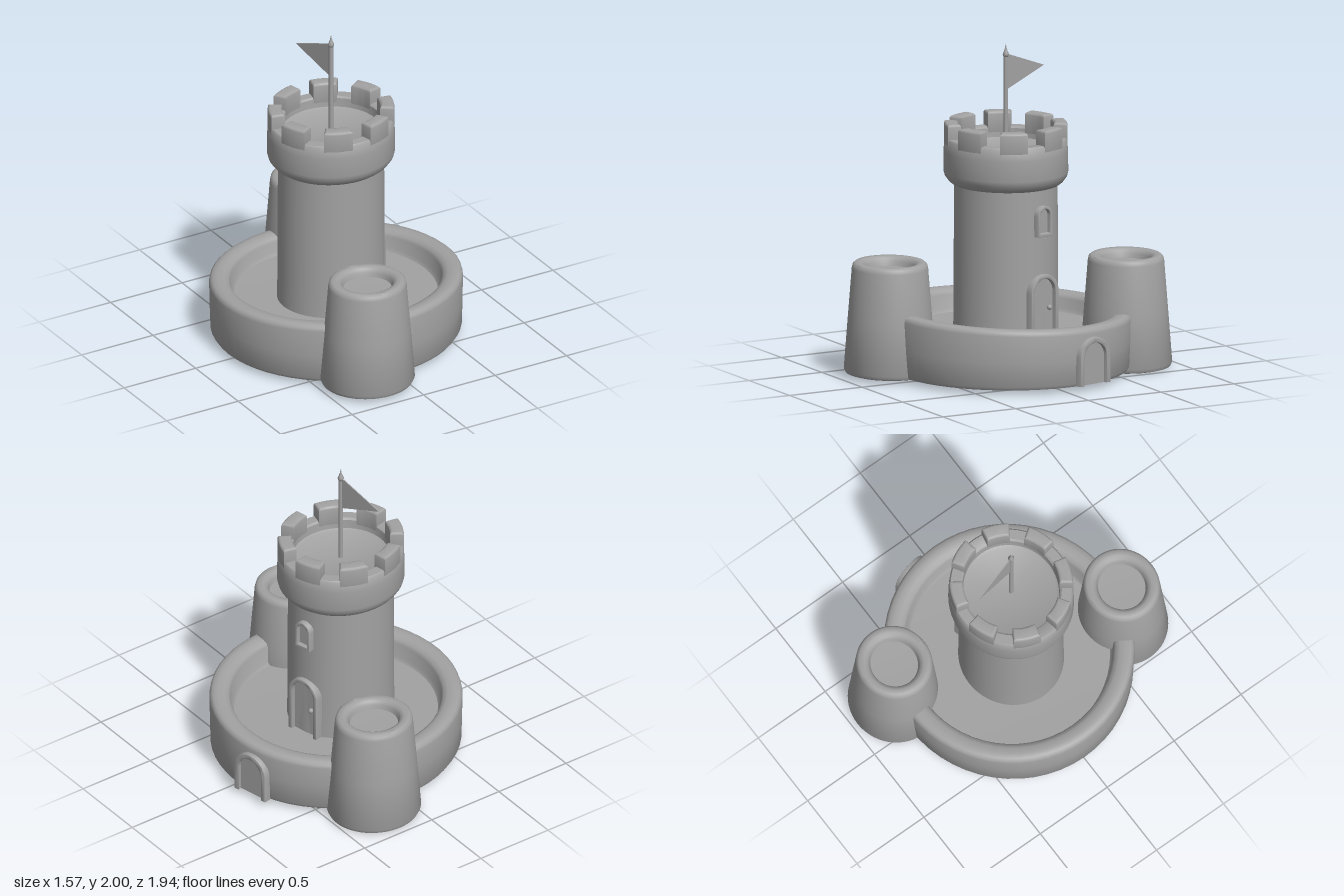
import * as THREE from 'three';
import { toCreasedNormals } from 'three/addons/utils/BufferGeometryUtils.js';

const stone = new THREE.MeshStandardMaterial({ color: 0xa2a2a2 });
stone.name = 'stone grey';
const cloth = stone.clone(); // same grey, seen from both sides
cloth.name = 'flag grey';
cloth.side = THREE.DoubleSide;

const FACING = THREE.MathUtils.degToRad(103); // doors and window look this way
const SQUASH = 0.95; // round parts are slightly narrower in depth

function add(parent, name, geometry, material = stone) {
  const mesh = new THREE.Mesh(geometry, material);
  mesh.name = name;
  parent.add(mesh);
  return mesh;
}

function lathe(profile, squash = SQUASH) {
  const g = new THREE.LatheGeometry(profile.map(([r, y]) => new THREE.Vector2(r, y)), 56);
  g.scale(1, 1, squash);
  return g;
}

// Outline of a round-topped opening, from lower right over to lower left
function archPoints(half, bottom, top) {
  const pts = [new THREE.Vector2(half, bottom)];
  for (let i = 0; i <= 14; i++) {
    const a = (i / 14) * Math.PI;
    pts.push(new THREE.Vector2(half * Math.cos(a), top - half + half * Math.sin(a)));
  }
  pts.push(new THREE.Vector2(-half, bottom));
  return pts;
}

// Raised frame with a recessed panel; a sill closes the bottom of windows
function archway(name, half, bottom, top, rim, front, recess, sill) {
  const group = new THREE.Group();
  group.name = name;
  const outer = archPoints(half, bottom, top);
  const inner = archPoints(half - rim, sill ? bottom + rim : bottom, top - rim);
  let shape;
  if (sill) {
    shape = new THREE.Shape(outer);
    shape.holes.push(new THREE.Path(inner));
  } else {
    shape = new THREE.Shape([...outer, ...inner.slice().reverse()]);
  }
  const bevel = 0.005;
  const frame = new THREE.ExtrudeGeometry(shape, {
    depth: 0.07, bevelSize: bevel, bevelThickness: bevel, bevelOffset: -bevel, bevelSegments: 2,
  });
  frame.translate(0, 0, front - 0.07 - bevel);
  add(group, name + 'Frame', toCreasedNormals(frame, 0.7));
  const panel = new THREE.ExtrudeGeometry(new THREE.Shape(inner), { depth: 0.04, bevelEnabled: false });
  panel.translate(0, 0, front - recess - 0.04);
  add(group, name + 'Panel', panel);
  group.rotation.y = FACING;
  return group;
}

// Keep: shaft, flared crown with battlements, door, window and flag
function buildKeep() {
  const keep = new THREE.Group();
  keep.name = 'keep';
  keep.position.set(-0.045, 0, -0.013);
  add(keep, 'shaft', lathe([[0.33, 0.2], [0.327, 0.4], [0.324, 1.2]]));
  add(keep, 'crown', toCreasedNormals(lathe([
    [0.31, 1.145], [0.34, 1.15], [0.36, 1.165], [0.383, 1.195], [0.391, 1.225], [0.389, 1.35],
    [0.384, 1.42], [0.375, 1.43], [0.315, 1.43], [0.303, 1.42], [0.298, 1.365], [0.28, 1.355], [0, 1.355],
  ]), 0.7));

  const bevel = 0.016;
  const halfAngle = THREE.MathUtils.degToRad(13.5) - bevel / 0.35;
  const sector = new THREE.Shape();
  sector.absarc(0, 0, 0.386 - bevel, -halfAngle, halfAngle, false);
  sector.absarc(0, 0, 0.3 + bevel, halfAngle, -halfAngle, true);
  const block = new THREE.ExtrudeGeometry(sector, {
    depth: 0.11, bevelSize: bevel, bevelThickness: bevel, bevelSegments: 3, curveSegments: 6,
  });
  block.rotateX(-Math.PI / 2);
  block.translate(0, 1.396, 0);
  const merlonGeometry = toCreasedNormals(block, 0.7);
  const battlements = new THREE.Group();
  battlements.name = 'battlements';
  battlements.scale.z = SQUASH;
  for (let i = 0; i < 8; i++) {
    add(battlements, 'merlon', merlonGeometry).rotation.y = (i + 0.5) * Math.PI / 4;
  }
  keep.add(battlements);

  const door = archway('keepDoor', 0.11, 0.24, 0.635, 0.026, 0.355, 0.03, false);
  const knob = add(door, 'doorKnob', new THREE.SphereGeometry(0.016, 14, 10));
  knob.position.set(0.052, 0.425, 0.335);
  keep.add(door, archway('keepWindow', 0.058, 0.868, 1.056, 0.02, 0.358, 0.028, true));

  // Flagpole with a pointed finial, and a pennant flying to the back
  add(keep, 'flagpole', new THREE.CylinderGeometry(0.014, 0.014, 0.6, 14)).position.y = 1.645;
  add(keep, 'finial', lathe([
    [0, 1.915], [0.015, 1.92], [0.019, 1.935], [0.013, 1.95], [0.006, 1.97], [0, 2],
  ], 1));
  const pennant = new THREE.Shape([
    new THREE.Vector2(0, 1.715), new THREE.Vector2(0.305, 1.828), new THREE.Vector2(0, 1.94),
  ]);
  const flag = new THREE.ExtrudeGeometry(pennant, { depth: 0.006, bevelEnabled: false });
  flag.translate(0, 0, -0.003);
  add(keep, 'flag', flag, cloth).rotation.y = 1.79;
  return keep;
}

// Low ring wall with a sunken courtyard, its top rising a little to the front
function buildCourtyard() {
  const yard = new THREE.Group();
  yard.name = 'courtyard';
  yard.position.set(-0.015, 0, -0.005);
  const wall = lathe([
    [0, 0.025], [0.72, 0.025], [0.75, 0.03], [0.763, 0.05], [0.768, 0.2], [0.77, 0.35], [0.765, 0.37],
    [0.75, 0.383], [0.72, 0.387], [0.68, 0.383], [0.655, 0.37], [0.643, 0.35], [0.635, 0.27],
    [0.62, 0.25], [0, 0.24],
  ], 0.967);
  const p = wall.attributes.position;
  for (let i = 0; i < p.count; i++) {
    if (p.getY(i) > 0.3) p.setY(i, p.getY(i) + 0.035 * p.getZ(i));
  }
  add(yard, 'ringWall', toCreasedNormals(wall, 0.7));
  yard.add(archway('gate', 0.122, 0.035, 0.325, 0.034, 0.797, 0.025, false));
  return yard;
}

// Tapered corner turret with a shallow hollow on top
function buildTurret(name, x, z, base, top) {
  const turret = new THREE.Group();
  turret.name = name;
  turret.position.set(x, 0, z);
  add(turret, name + 'Body', toCreasedNormals(lathe([
    [0, base], [0.25, base], [0.278, base + 0.008], [0.289, base + 0.03], [0.264, (base + top) / 2],
    [0.239, top - 0.035], [0.233, top - 0.012], [0.218, top], [0.185, top], [0.165, top - 0.01],
    [0.155, top - 0.03], [0.148, top - 0.055], [0, top - 0.06],
  ]), 0.7));
  return turret;
}

export function createModel() {
  const castle = new THREE.Group();
  castle.name = 'castle';
  castle.add(
    buildCourtyard(),
    buildKeep(),
    buildTurret('frontTurret', -0.21, 0.692, 0.02, 0.7),
    buildTurret('backTurret', 0.21, -0.698, 0, 0.685),
  );
  return castle;
}
